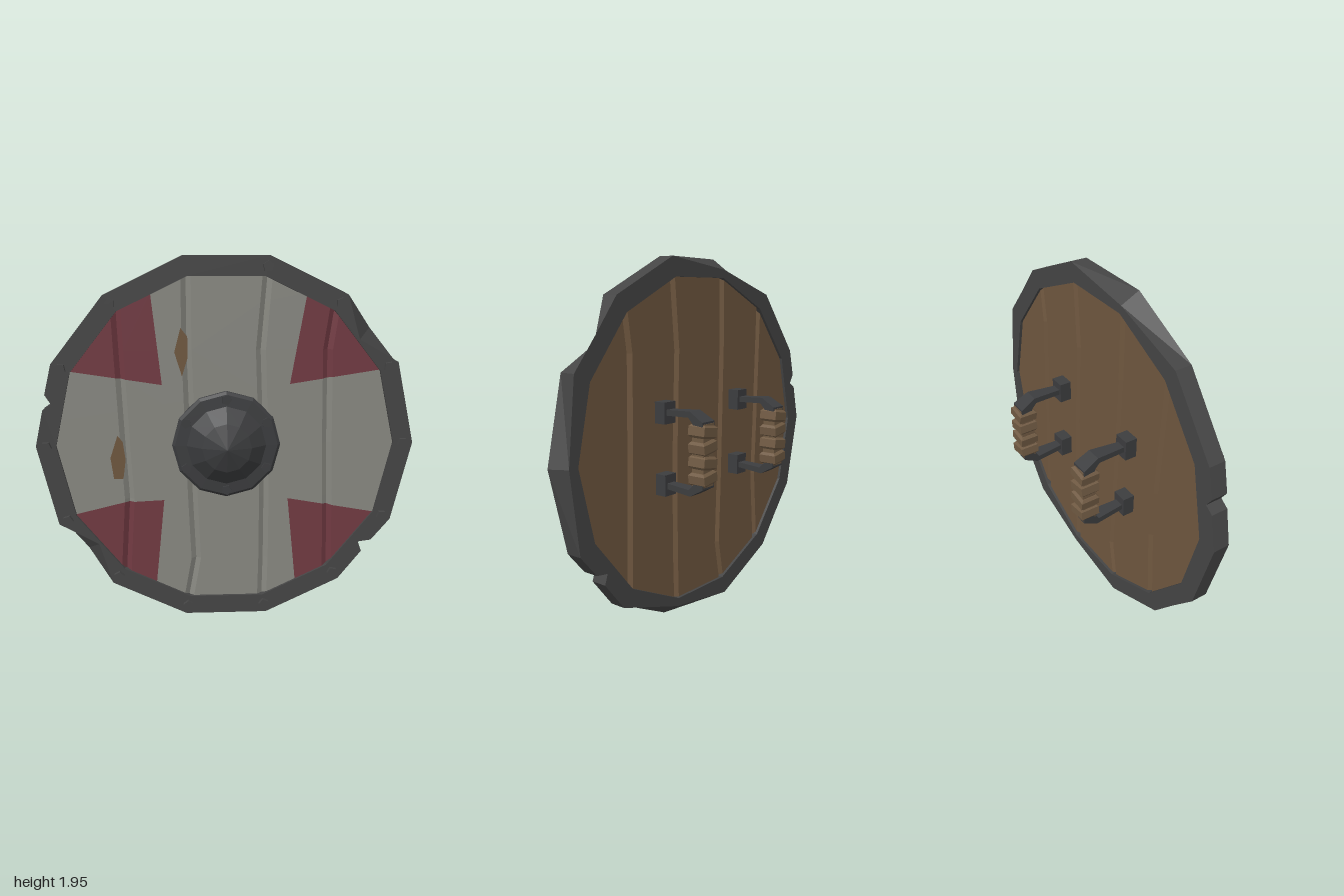
import * as THREE from 'three';

const mat = (name, color) => new THREE.MeshStandardMaterial({ name, color, flatShading: true });
const STEP = Math.PI / 7; // the shield has 14 sides

// Geometry from a list of convex polygons
function polygons(list) {
  const pos = [];
  for (const p of list)
    for (let i = 1; i < p.length - 1; i++) pos.push(...p[0], ...p[i], ...p[i + 1]);
  const g = new THREE.BufferGeometry();
  g.setAttribute('position', new THREE.Float32BufferAttribute(pos, 3));
  g.computeVertexNormals();
  return g;
}

// Part of a polygon on the left (sign 1) or right (sign -1) of the line a-b
function cut(poly, a, b, sign) {
  const side = p => sign * ((b[0] - a[0]) * (p[1] - a[1]) - (b[1] - a[1]) * (p[0] - a[0]));
  const out = [];
  poly.forEach((p, i) => {
    const q = poly[(i + 1) % poly.length], d = side(p), e = side(q);
    if (d >= 0) out.push(p);
    if (d * e < 0) out.push(p.map((v, k) => v + (q[k] - v) * d / (d - e)));
  });
  return out.length > 2 ? out : [];
}

// Splits a polygon by a convex counter-clockwise region into inside and outside pieces
function divide(poly, region) {
  const outside = [];
  let inside = poly;
  region.forEach((a, i) => {
    const b = region[(i + 1) % region.length];
    const o = cut(inside, a, b, -1);
    if (o.length) outside.push(o);
    inside = cut(inside, a, b, 1);
  });
  return { inside, outside };
}

// Plank seams: x of each groove at these heights
const LEVELS = [0.9, 0.5, 0, -0.3, -0.65, -0.9];
const SEAMS = [
  [-0.57, -0.555, -0.535, -0.52, -0.545, -0.56],
  [-0.205, -0.205, -0.19, -0.18, -0.165, -0.21],
  [0.212, 0.18, 0.2, 0.205, 0.205, 0.2],
  [0.585, 0.53, 0.54, 0.55, 0.56, 0.565],
];

// Planked face with V grooves, clipped to the shield outline
function plankFace(z, grooveZ, half) {
  const outline = Array.from({ length: 14 }, (_, i) => [0.905 * Math.cos(i * STEP), 0.905 * Math.sin(i * STEP)]);
  const row = i => {
    const y = LEVELS[i], pts = [[-1, y, z]];
    for (const s of SEAMS) pts.push([s[i] - half, y, z], [s[i], y, grooveZ], [s[i] + half, y, z]);
    return [...pts, [1, y, z]];
  };
  const cells = [];
  for (let i = 0; i < LEVELS.length - 1; i++) {
    const top = row(i), low = row(i + 1);
    for (let k = 0; k < top.length - 1; k++) {
      const c = divide([low[k], low[k + 1], top[k + 1], top[k]], outline).inside;
      if (c.length) cells.push(c);
    }
  }
  return cells;
}

// Rim ring: outer radius varies at notches and dents
function rimGeometry() {
  const pts = [];
  const backDent = { 0: 0.95, 4: 0.94, 11: 0.94 };
  for (let i = 0; i < 14; i++) pts.push([i * 360 / 14, 1, backDent[i] || 1]);
  pts.push([38.57, 0.885, 0.972], [218.57, 0.885, 0.972]);
  pts.push([163.7, 0.98, 0.98], [166.1, 0.937, 0.937], [168.5, 0.975, 0.975]);
  pts.push([325.3, 0.974, 0.974], [322.3, 0.923, 0.923], [320.4, 0.973, 0.973]);
  pts.sort((a, b) => a[0] - b[0]);
  const loops = pts.map(([deg, rf, rb]) => {
    const t = deg * Math.PI / 180;
    const ri = 0.895 * Math.cos(STEP / 2) / Math.cos((t % STEP) - STEP / 2);
    return [[rf, 0.14], [ri, 0.14], [ri, 0.05], [rb, 0.05]]
      .map(([r, z]) => [r * Math.cos(t), r * Math.sin(t), z]);
  });
  const quads = [];
  loops.forEach((a, i) => {
    const b = loops[(i + 1) % loops.length];
    for (let k = 0; k < 4; k++) quads.push([a[k], b[k], b[(k + 1) % 4], a[(k + 1) % 4]]);
  });
  return polygons(quads);
}

export function createModel() {
  const paint = mat('greyPaint', 0x888881), red = mat('redPaint', 0x713a42);
  const wood = mat('wood', 0x6f573f), leather = mat('leather', 0x705a43);
  const rimIron = mat('rimIron', 0x454545), iron = mat('darkIron', 0x3c3d3f);

  const model = new THREE.Group();
  model.name = 'shield';
  const body = new THREE.Group();
  body.name = 'shieldBody';
  body.position.y = 0.975;
  model.add(body);
  const add = (parent, name, geo, material, x = 0, y = 0, z = 0) => {
    const m = new THREE.Mesh(geo, material);
    m.name = name;
    m.position.set(x, y, z);
    parent.add(m);
    return m;
  };

  // Front planks, divided into grey and red paint
  const redRegions = [
    [[-0.335, 0.32], [-0.385, 0.79], [-0.95, 0.9], [-0.95, 0.415]],
    [[0.335, 0.32], [0.95, 0.415], [0.95, 0.9], [0.415, 0.79]],
    [[-0.335, -0.31], [-0.55, -0.32], [-0.82, -0.385], [-0.95, -0.42], [-0.95, -0.9], [-0.385, -0.79]],
    [[0.335, -0.31], [0.385, -0.79], [0.95, -0.9], [0.95, -0.42]],
  ];
  let grey = plankFace(0.126, 0.106, 0.026);
  const reds = [];
  for (const region of redRegions) {
    const rest = [];
    for (const cell of grey) {
      const { inside, outside } = divide(cell, region);
      if (inside.length) reds.push(inside);
      rest.push(...outside);
    }
    grey = rest;
  }
  add(body, 'greyPlanks', polygons(grey), paint);
  add(body, 'redPanels', polygons(reds), red);

  // Bare wooden back
  add(body, 'backPlanks', polygons(plankFace(0.066, 0.086, 0.02).map(c => c.reverse())), wood);

  // Chips in the paint
  const chips = [
    [[-0.235, 0.615], [-0.268, 0.49], [-0.23, 0.365], [-0.2, 0.46], [-0.2, 0.57]],
    [[-0.575, 0.05], [-0.615, -0.07], [-0.6, -0.185], [-0.55, -0.185], [-0.535, -0.08], [-0.548, 0.02]],
  ];
  for (const c of chips) add(body, 'paintChip', polygons([c.map(([x, y]) => [x, y, 0.129])]), wood);

  add(body, 'rim', rimGeometry(), rimIron);

  // Central boss
  const profile = [[0, 0.268], [0.13, 0.225], [0.21, 0.162], [0.272, 0.158], [0.287, 0.145], [0.287, 0.11]]
    .map(([r, z]) => new THREE.Vector2(r, z)).reverse();
  add(body, 'boss', new THREE.LatheGeometry(profile, 12).rotateX(Math.PI / 2), iron);

  // Rivets around the rim and the boss
  const rivet = r => new THREE.CylinderGeometry(r, r, 0.03, 5).rotateX(Math.PI / 2);
  const ring = (name, count, radius, z, start, size, material) => {
    for (let i = 0; i < count; i++) {
      const t = start + i * 2 * Math.PI / count;
      add(body, name, rivet(size), material, radius * Math.cos(t), radius * Math.sin(t), z).rotation.z = t + i;
    }
  };
  ring('rimRivet', 14, 0.945, 0.146, 0, 0.029, rimIron);
  ring('bossRivet', 6, 0.245, 0.156, Math.PI / 2, 0.028, iron);

  // Handle arm: side profile widened towards the grip
  const armShape = new THREE.Shape([[0, 0.178], [0.155, 0.185], [0.185, 0.155], [0.185, 0.12], [0.25, 0.12],
    [0.25, 0.17], [0.165, 0.217], [0, 0.208]].map(p => new THREE.Vector2(...p)));
  const arm = new THREE.ExtrudeGeometry(armShape, { depth: 1, bevelEnabled: false })
    .translate(0, 0, -0.5).rotateY(Math.PI / 2);
  const p = arm.attributes.position;
  for (let i = 0; i < p.count; i++) p.setX(i, p.getX(i) * (0.055 - p.getZ(i) * 0.16));

  // Leather band: four-sided with chamfered edges
  const R = Math.SQRT2;
  const band = new THREE.LatheGeometry([[0, -0.034], [0.04, -0.034], [0.052, -0.022], [0.052, 0.022], [0.04, 0.034], [0, 0.034]]
    .map(([r, y]) => new THREE.Vector2(r * R, y)), 4, Math.PI / 4);

  for (const x of [-0.315, 0.313]) {
    const handle = new THREE.Group();
    handle.name = x > 0 ? 'leftHandle' : 'rightHandle';
    handle.position.x = x;
    body.add(handle);
    for (const s of [1, -1]) {
      const half = new THREE.Group();
      half.name = 'handleEnd';
      half.scale.y = s;
      handle.add(half);
      add(half, 'mountBlock', new THREE.BoxGeometry(0.085, 0.113, 0.075), iron, 0, 0.19, 0.0375);
      add(half, 'handleArm', arm, iron);
    }
    add(handle, 'gripCore', new THREE.BoxGeometry(0.08, 0.32, 0.075), leather, 0, 0, -0.215);
    [0.118, 0.04, -0.04, -0.118].forEach((y, i) => {
      const b = add(handle, 'gripBand', band, leather, 0, y, -0.215);
      b.rotation.z = i % 2 ? -0.14 : 0.14;
    });
  }
  return model;
}
